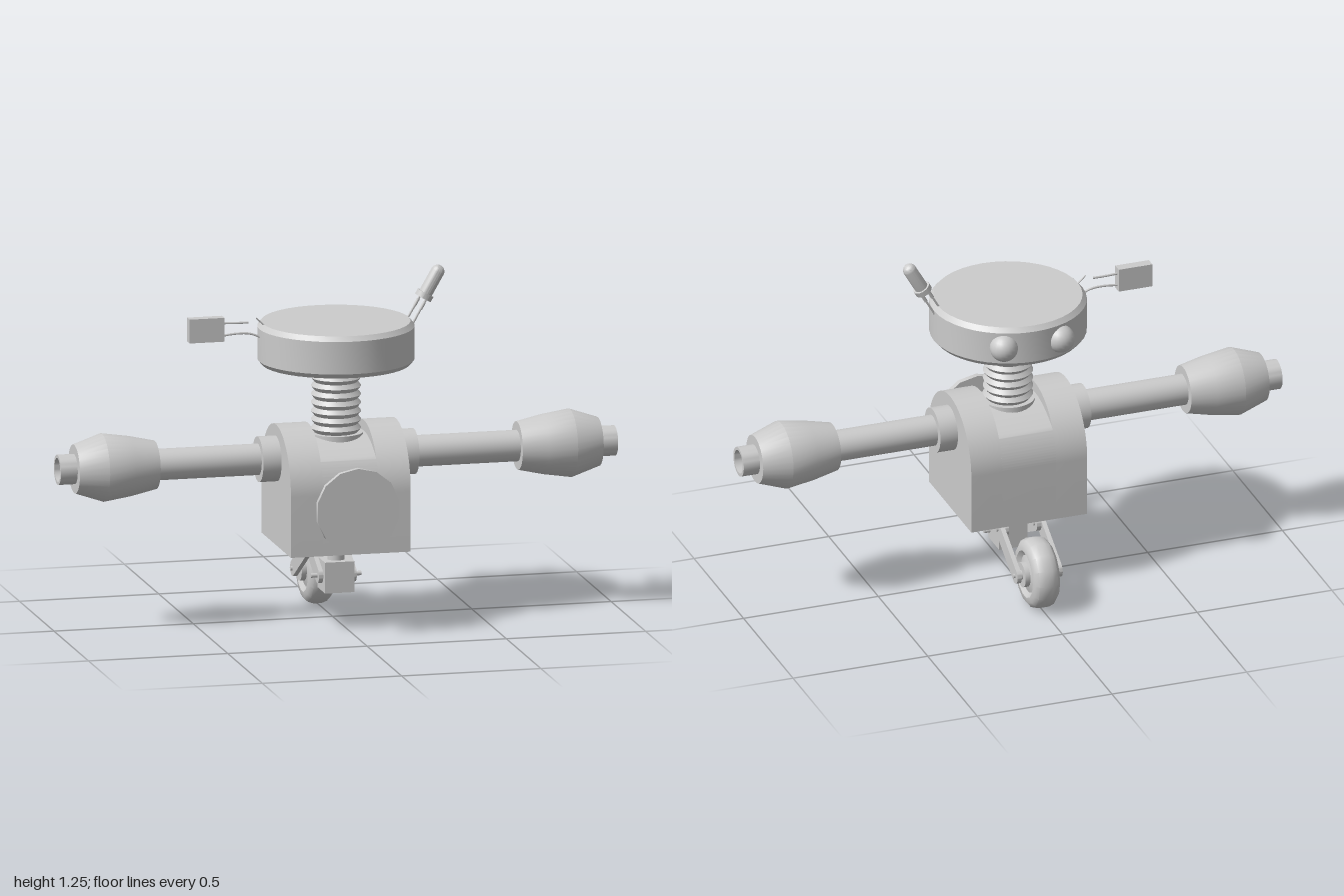
import * as THREE from 'three';
import { toCreasedNormals } from 'three/addons/utils/BufferGeometryUtils.js';

const CZ = 0.05; // axis shared by body, neck and head
const mat = new THREE.MeshStandardMaterial({ color: 0xcccccc });
const V = (x, y, z = 0) => new THREE.Vector3(x, y, z);

function add(parent, name, geo, x = 0, y = 0, z = 0) {
  const mesh = new THREE.Mesh(geo, mat);
  mesh.name = name;
  mesh.position.set(x, y, z);
  parent.add(mesh);
  return mesh;
}

// Turned part: profile of [radius, height] pairs, bottom to top
function turned(profile, sides = 32, crease = 0.5) {
  const pts = profile.map(([r, h]) => new THREE.Vector2(r, h));
  return toCreasedNormals(new THREE.LatheGeometry(pts, sides), crease);
}
const alongX = (geo) => geo.rotateZ(-Math.PI / 2);
const alongZ = (geo) => geo.rotateX(Math.PI / 2);

function wire(parent, name, points, r = 0.004) {
  const curve = new THREE.CatmullRomCurve3(points);
  add(parent, name, new THREE.TubeGeometry(curve, 10, r, 6));
}

// Slab with a side outline, running from x0 to x1
function slab(shape, x0, x1) {
  const geo = new THREE.ExtrudeGeometry(shape, { depth: x1 - x0, bevelEnabled: false, curveSegments: 28 });
  geo.rotateY(Math.PI / 2).translate(x0, 0, 0);
  return toCreasedNormals(geo, 0.5);
}

function makeBody() {
  const body = new THREE.Group();
  body.name = 'body';
  body.position.z = CZ;
  const R = 0.215, yc = 0.495;
  const arch = new THREE.Shape();
  arch.moveTo(-R, 0.28);
  arch.lineTo(R, 0.28);
  arch.lineTo(R, yc);
  arch.absarc(0, yc, R, 0, Math.PI);
  arch.closePath();
  // Middle section has a lower saddle under the neck
  const a = Math.asin((0.61 - yc) / R), zx = R * Math.cos(a);
  const saddle = new THREE.Shape();
  saddle.moveTo(-R, 0.28);
  saddle.lineTo(R, 0.28);
  saddle.lineTo(R, yc);
  saddle.absarc(0, yc, R, 0, a);
  saddle.quadraticCurveTo(0, 0.735, -zx, 0.61);
  saddle.absarc(0, yc, R, Math.PI - a, Math.PI);
  saddle.closePath();
  add(body, 'leftShell', slab(arch, 0.1, R));
  add(body, 'rightShell', slab(arch, -R, -0.1));
  add(body, 'middleShell', slab(saddle, -0.1, 0.1));

  // Ribbed neck
  const ribs = [[0.095, 0.6], [0.095, 0.675], [0.076, 0.675]];
  for (let y = 0.69; y < 0.9; y += 0.03) ribs.push([0.088, y], [0.076, y + 0.015]);
  ribs.push([0.086, 0.905], [0.086, 0.93]);
  add(body, 'neck', turned(ribs));

  // Round plate on the chest
  add(body, 'chestSocket', alongZ(new THREE.CylinderGeometry(0.06, 0.06, 0.035, 24)), 0, 0.46, 0.2275);
  add(body, 'chestStem', alongZ(new THREE.CylinderGeometry(0.045, 0.045, 0.1, 24)), 0, 0.46, 0.27);
  const plate = new THREE.CylinderGeometry(0.15, 0.15, 0.02, 14);
  add(body, 'chestPlate', toCreasedNormals(alongZ(plate), 0.6), 0, 0.46, 0.316);
  return body;
}

function makeArm(name, turn) {
  const arm = new THREE.Group();
  arm.name = name;
  arm.position.set(0, 0.59, CZ);
  arm.rotation.y = turn;
  add(arm, 'shoulder', alongX(turned([[0.08, 0.2], [0.08, 0.28], [0, 0.28]])));
  add(arm, 'rod', alongX(turned([[0.055, 0.27], [0.055, 0.66]])));
  add(arm, 'hand', alongX(turned([[0, 0.65], [0.085, 0.65], [0.105, 0.74], [0.12, 0.84], [0.086, 0.94], [0, 0.94]])));
  // Hollow nozzle
  add(arm, 'nozzle', alongX(turned([[0.053, 0.93], [0.053, 1], [0.042, 1], [0.042, 0.942], [0, 0.942]])));
  return arm;
}

function makeHead() {
  const head = new THREE.Group();
  head.name = 'head';
  head.position.z = CZ;
  add(head, 'headDisc', turned([[0, 0.92], [0.26, 0.92], [0.275, 0.937], [0.275, 1.053], [0.26, 1.07], [0, 1.07]], 40, 0.6));
  for (const s of [-1, 1]) {
    add(head, 'rearKnob', new THREE.SphereGeometry(0.05, 20, 14), s * 0.105, 0.995, -0.245);
  }

  // Tilted lamp on two wires
  const lamp = new THREE.Group();
  lamp.name = 'lamp';
  lamp.position.set(0.312, 1.135, 0);
  lamp.rotation.z = -Math.PI / 6;
  const bulb = [[0, 0], [0.031, 0], [0.031, 0.02], [0.024, 0.02], [0.024, 0.105]];
  for (let i = 1; i <= 6; i++) {
    const t = (i / 6) * Math.PI / 2;
    bulb.push([i === 6 ? 0 : 0.024 * Math.cos(t), 0.105 + 0.024 * Math.sin(t)]);
  }
  add(lamp, 'bulb', turned(bulb, 20));
  for (const s of [-1, 1]) {
    wire(lamp, 'lampWire', [V(s * 0.013, 0.005), V(s * 0.013, -0.06), V(s * 0.014, -0.13)]);
    add(lamp, 'wireCollar', new THREE.CylinderGeometry(0.006, 0.006, 0.03, 8), s * 0.013, -0.025, 0);
  }
  head.add(lamp);

  // Flat component on the other side, one of its wires broken
  add(head, 'component', new THREE.BoxGeometry(0.125, 0.085, 0.036), -0.467, 1.062, 0);
  wire(head, 'upperWire', [V(-0.41, 1.082), V(-0.36, 1.08), V(-0.315, 1.08)]);
  wire(head, 'wireStub', [V(-0.287, 1.095), V(-0.272, 1.08), V(-0.25, 1.06)], 0.003);
  wire(head, 'lowerWire', [V(-0.41, 1.037), V(-0.36, 1.042), V(-0.31, 1.04), V(-0.26, 1.02)]);
  return head;
}

// Flat bar with round ends between two points [z, y]
function link(p, q, x0, x1) {
  const len = Math.hypot(q[0] - p[0], q[1] - p[1]), r = 0.028;
  const s = new THREE.Shape();
  s.absarc(0, 0, r, Math.PI / 2, Math.PI * 1.5);
  s.absarc(len, 0, r, -Math.PI / 2, Math.PI / 2);
  s.closePath();
  const geo = new THREE.ExtrudeGeometry(s, { depth: x1 - x0, bevelEnabled: false, curveSegments: 10 });
  geo.rotateZ(Math.atan2(q[1] - p[1], p[0] - q[0]));
  geo.rotateY(Math.PI / 2).translate(x0, p[1], p[0]);
  return toCreasedNormals(geo, 0.6);
}

function makeLeg() {
  const leg = new THREE.Group();
  leg.name = 'wheelLeg';
  add(leg, 'legFlange', new THREE.CylinderGeometry(0.042, 0.042, 0.025, 24), 0, 0.275, CZ);
  add(leg, 'legPost', new THREE.CylinderGeometry(0.03, 0.03, 0.1, 24), 0, 0.24, CZ);
  add(leg, 'legBlock', new THREE.BoxGeometry(0.105, 0.11, 0.108), 0, 0.165, CZ);
  const hip = [CZ, 0.165], knee = [-0.075, 0.23], axle = [-0.247, 0.128];
  for (const s of [-1, 1]) {
    const span = (a, b) => (s > 0 ? [a, b] : [-b, -a]);
    add(leg, 'upperLink', link(hip, knee, ...span(0.052, 0.068)));
    add(leg, 'lowerLink', link(knee, axle, ...span(0.068, 0.084)));
    for (const [z, y] of [hip, knee, axle]) {
      add(leg, 'bolt', alongX(new THREE.CylinderGeometry(0.008, 0.008, 0.045, 10)), s * 0.068, y, z);
    }
  }
  // Wheel with rounded tyre and wider hub
  const tyre = [[0.068, -0.035], [0.085, -0.048], [0.105, -0.046], [0.12, -0.034], [0.127, -0.014],
    [0.127, 0.014], [0.12, 0.034], [0.105, 0.046], [0.085, 0.048], [0.068, 0.035]];
  add(leg, 'tyre', alongX(turned(tyre, 14, 0.6)), 0, axle[1], axle[0]);
  const hub = [[0, -0.06], [0.045, -0.06], [0.045, -0.042], [0.072, -0.034],
    [0.072, 0.034], [0.045, 0.042], [0.045, 0.06], [0, 0.06]];
  add(leg, 'hub', alongX(turned(hub, 20)), 0, axle[1], axle[0]);
  add(leg, 'axle', alongX(new THREE.CylinderGeometry(0.018, 0.018, 0.14, 12)), 0, axle[1], axle[0]);
  return leg;
}

export function createModel() {
  const model = new THREE.Group();
  model.name = 'robot';
  model.add(makeBody(), makeHead(), makeLeg());
  model.add(makeArm('leftArm', 0), makeArm('rightArm', Math.PI));
  return model;
}
